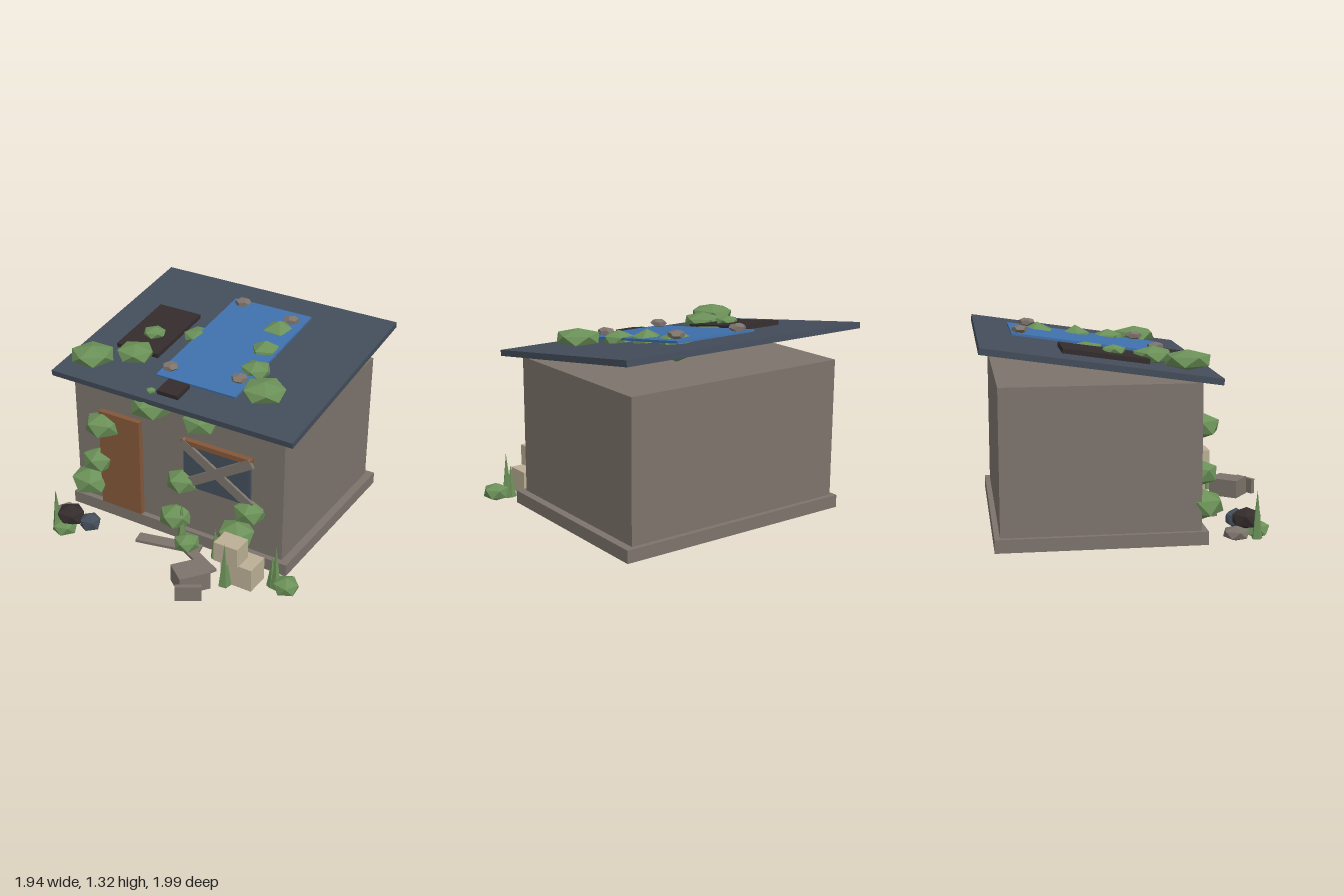
import * as THREE from 'three';

const mat = (name, color) => {
  const m = new THREE.MeshStandardMaterial({ color });
  m.name = name;
  return m;
};

export function createModel() {
  const model = new THREE.Group();
  model.name = 'abandonedHut';

  const stone = mat('greyStone', 0x7c736b);
  const slate = mat('slateBlue', 0x434d5a);
  const wood = mat('brownWood', 0x84573a);
  const tarpBlue = mat('tarpBlue', 0x3f70ab);
  const char = mat('charredBlack', 0x342c2c);
  const green = mat('leafGreen', 0x6b9058);
  const card = mat('cardboard', 0xbbb095);

  const add = (name, geo, material, x, y, z, parent = model) => {
    const mesh = new THREE.Mesh(geo, material);
    mesh.name = name;
    mesh.position.set(x, y, z);
    parent.add(mesh);
    return mesh;
  };
  const box = (name, material, [w, h, d], [x, y, z], parent) =>
    add(name, new THREE.BoxGeometry(w, h, d), material, x, y, z, parent);

  // Walls and foundation
  box('foundation', stone, [1.70, 0.085, 1.325], [-0.05, 0.0575, -0.2625]);
  box('walls', stone, [1.615, 0.93, 1.25], [-0.0625, 0.565, -0.265]);

  // Door and boarded window
  box('door', wood, [0.325, 0.72, 0.05], [-0.4925, 0.46, 0.375]);
  box('windowPane', slate, [0.50, 0.32, 0.04], [0.26, 0.61, 0.365]);
  box('windowLintel', wood, [0.525, 0.035, 0.05], [0.2625, 0.787, 0.375]);
  for (const s of [-1, 1]) {
    const plank = box('windowPlank', stone, [0.62, 0.065, 0.02], [0.265, 0.62, 0.395 + s * 0.002]);
    plank.rotation.z = s * 0.55;
  }

  // Sloping roof, with everything lying flat on it
  const roof = new THREE.Group();
  roof.name = 'roof';
  roof.position.set(-0.0625, 1.157, -0.265);
  roof.rotation.x = 0.146;
  model.add(roof);
  box('roofSlab', slate, [1.825, 0.04, 1.48], [0, 0, 0], roof);
  box('tarp', tarpBlue, [0.60, 0.015, 1.03], [0.0825, 0.045, 0], roof);
  box('largePatch', char, [0.33, 0.03, 0.545], [-0.5025, 0.035, 0.045], roof);
  box('smallPatch', char, [0.16, 0.03, 0.146], [-0.0375, 0.035, 0.59], roof);

  // Faceted clumps: a squashed icosahedron standing on one corner
  const clumpGeo = new THREE.IcosahedronGeometry(1, 0);
  clumpGeo.rotateX(-Math.atan(1.618));
  clumpGeo.computeVertexNormals();
  const clump = (name, material, [x, y, z, r, h], i) => {
    const mesh = add(name, clumpGeo, material, x, y, z);
    mesh.scale.set(r, h, r);
    mesh.rotation.y = i * 1.7;
  };

  // Each row: x, y, z, radius, half height
  const roofMoss = [
    [-0.77, 1.16, 0.28, 0.16, 0.065], [-0.545, 1.16, 0.10, 0.14, 0.06],
    [-0.56, 1.20, -0.15, 0.085, 0.036], [-0.29, 1.185, -0.30, 0.12, 0.035],
    [0.18, 1.20, -0.57, 0.13, 0.10], [0.22, 1.18, -0.31, 0.108, 0.09],
    [0.28, 1.165, -0.08, 0.11, 0.065], [0.46, 1.165, 0.13, 0.16, 0.062],
    [-0.23, 1.09, 0.39, 0.034, 0.02],
  ];
  const wallIvy = [
    [-0.235, 0.98, 0.375, 0.16, 0.09], [0.145, 0.97, 0.38, 0.135, 0.085],
    [-0.625, 0.72, 0.385, 0.142, 0.09], [-0.68, 0.425, 0.38, 0.124, 0.085],
    [-0.755, 0.24, 0.385, 0.15, 0.097], [0.0, 0.475, 0.38, 0.12, 0.083],
    [0.515, 0.41, 0.38, 0.118, 0.08], [0.46, 0.265, 0.46, 0.135, 0.09],
    [-0.05, 0.19, 0.40, 0.12, 0.082],
  ];
  const groundBushes = [
    [0.09, 0.07, 0.48, 0.095, 0.062], [0.88, 0.065, 0.545, 0.093, 0.063],
    [-0.73, 0.06, 0.74, 0.095, 0.06],
  ];
  roofMoss.forEach((b, i) => clump('roofMoss', green, b, i));
  wallIvy.forEach((b, i) => clump('wallIvy', green, b, i));
  groundBushes.forEach((b, i) => clump('groundBush', green, b, i));

  // Rubbish bags beside the door
  clump('blackBag', char, [-0.72, 0.125, 0.68, 0.105, 0.075], 0.4);
  clump('blueBag', slate, [-0.585, 0.09, 0.645, 0.08, 0.07], 1.2);
  clump('greyBag', stone, [-0.825, 0.062, 0.59, 0.092, 0.048], 2.1);

  // Stones weighing down the tarp
  const stoneGeo = new THREE.DodecahedronGeometry(1, 0);
  [[-0.19, 1.297, -0.71], [0.235, 1.293, -0.64], [0.26, 1.185, 0.10], [-0.22, 1.172, 0.17]]
    .forEach(([x, y, z], i) => {
      const mesh = add('tarpStone', stoneGeo, stone, x, y, z);
      mesh.scale.set(0.058, 0.029, 0.058);
      mesh.rotation.y = i * 0.9;
    });

  // Tall grass spikes: x, z, top, radius
  [[0.02, 0.43, 0.325, 0.04], [0.30, 0.46, 0.245, 0.032], [0.505, 0.68, 0.33, 0.045],
    [0.80, 0.535, 0.325, 0.036], [0.77, 0.53, 0.24, 0.036], [-0.80, 0.73, 0.325, 0.036]]
    .forEach(([x, z, top, r], i) => {
      const geo = new THREE.ConeGeometry(r, top - 0.015, 5).toNonIndexed();
      geo.computeVertexNormals();
      add('grassSpike', geo, green, x, (top + 0.015) / 2, z).rotation.y = i;
    });

  // Cardboard boxes
  box('upperBox', card, [0.172, 0.14, 0.14], [0.511, 0.247, 0.612]);
  box('lowerBox', card, [0.225, 0.162, 0.17], [0.577, 0.096, 0.575]);

  // Fallen rubble and planks
  box('rubbleBlock', stone, [0.174, 0.125, 0.21], [0.32, 0.078, 0.795]).rotation.y = -0.655;
  box('rubbleSlab', stone, [0.17, 0.105, 0.03], [0.39, 0.067, 0.935]).rotation.y = 0.55;
  box('longPlank', stone, [0.45, 0.02, 0.09], [-0.04, 0.025, 0.50]).rotation.y = 0.22;
  box('shortPlank', stone, [0.34, 0.02, 0.075], [0.22, 0.025, 0.545]).rotation.y = -0.47;

  return model;
}
